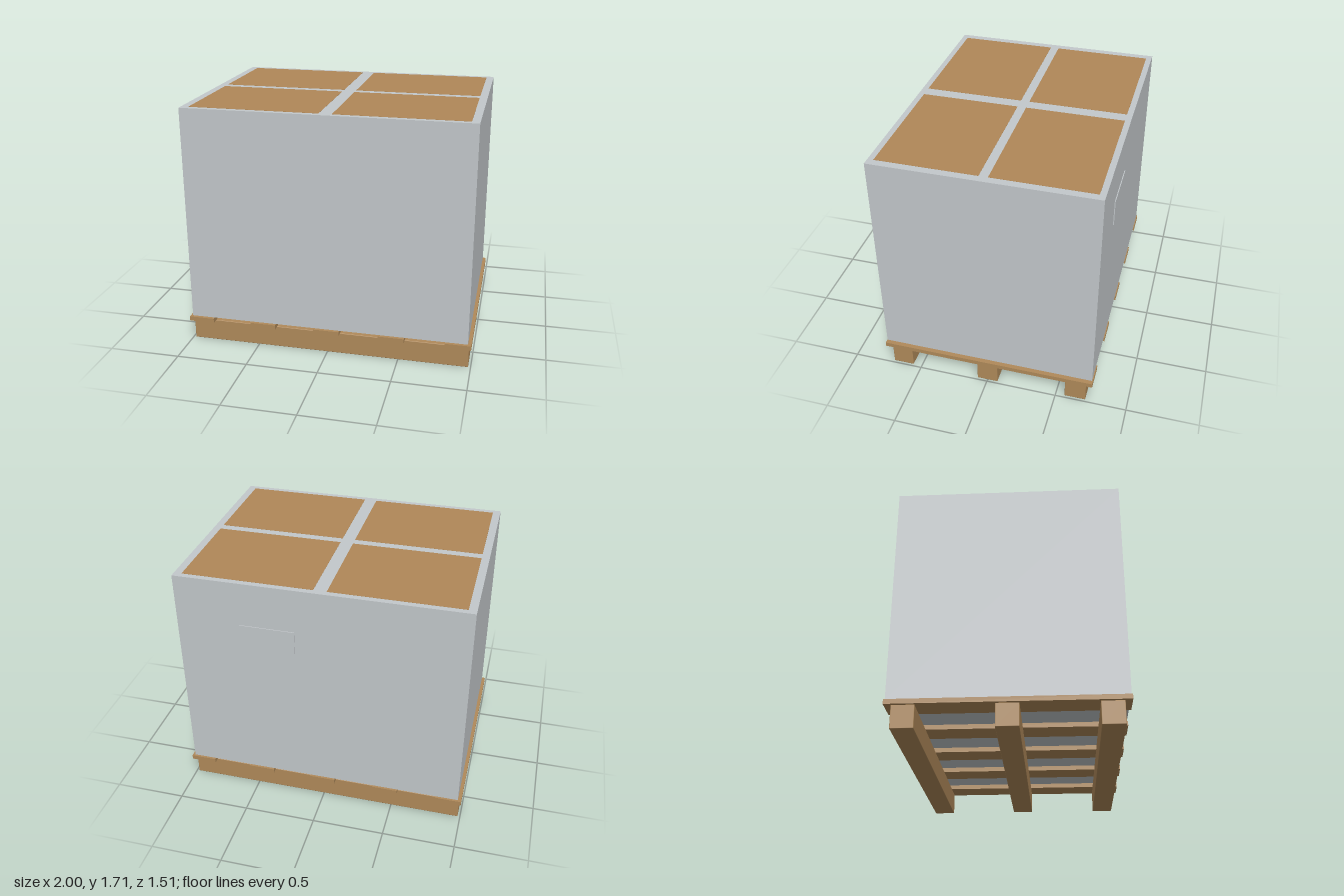
import * as THREE from 'three';
import { RoundedBoxGeometry } from 'three/addons/geometries/RoundedBoxGeometry.js';

const material = (name, color) => {
  const m = new THREE.MeshStandardMaterial({ color });
  m.name = name;
  return m;
};

export function createModel() {
  const group = new THREE.Group();
  group.name = 'loadedPallet';

  const wood = material('pallet wood', 0xb08a5a);
  const cardboard = material('cardboard', 0xb08858);
  const film = material('grey wrap', 0xc3c8cb);

  const add = (name, geometry, mat, x, y, z) => {
    const mesh = new THREE.Mesh(geometry, mat);
    mesh.name = name;
    mesh.position.set(x, y, z);
    group.add(mesh);
  };

  // Three long bearers with slightly eased edges
  const bearer = new RoundedBoxGeometry(1.966, 0.154, 0.148, 1, 0.004);
  for (const z of [-0.637, 0, 0.637]) add('bearer', bearer, wood, 0, 0.077, z);

  // Five deck boards running front to back
  const board = new THREE.BoxGeometry(0.18, 0.032, 1.512);
  for (let i = -2; i <= 2; i++) add('deckBoard', board, wood, i * 0.455, 0.17, 0);

  // Wrapped load
  const bottom = 0.195, top = 1.708;
  add('wrap', new THREE.BoxGeometry(1.954, top - bottom, 1.5), film, 0, (bottom + top) / 2, 0);

  // Four stacks of cartons, their lids just clearing the wrap
  const layers = 4, layerHeight = (top + 0.001 - bottom - 0.01) / layers;
  const carton = new THREE.BoxGeometry(0.88, layerHeight, 0.68);
  for (const sx of [-1, 1]) for (const sz of [-1, 1]) {
    for (let i = 0; i < layers; i++) {
      add('carton', carton, cardboard, sx * 0.484, bottom + 0.01 + (i + 0.5) * layerHeight, sz * 0.37);
    }
  }

  // Shipping label on the back
  add('label', new THREE.BoxGeometry(0.374, 0.187, 0.008), film, 0.353, 1.306, -0.752);

  return group;
}
